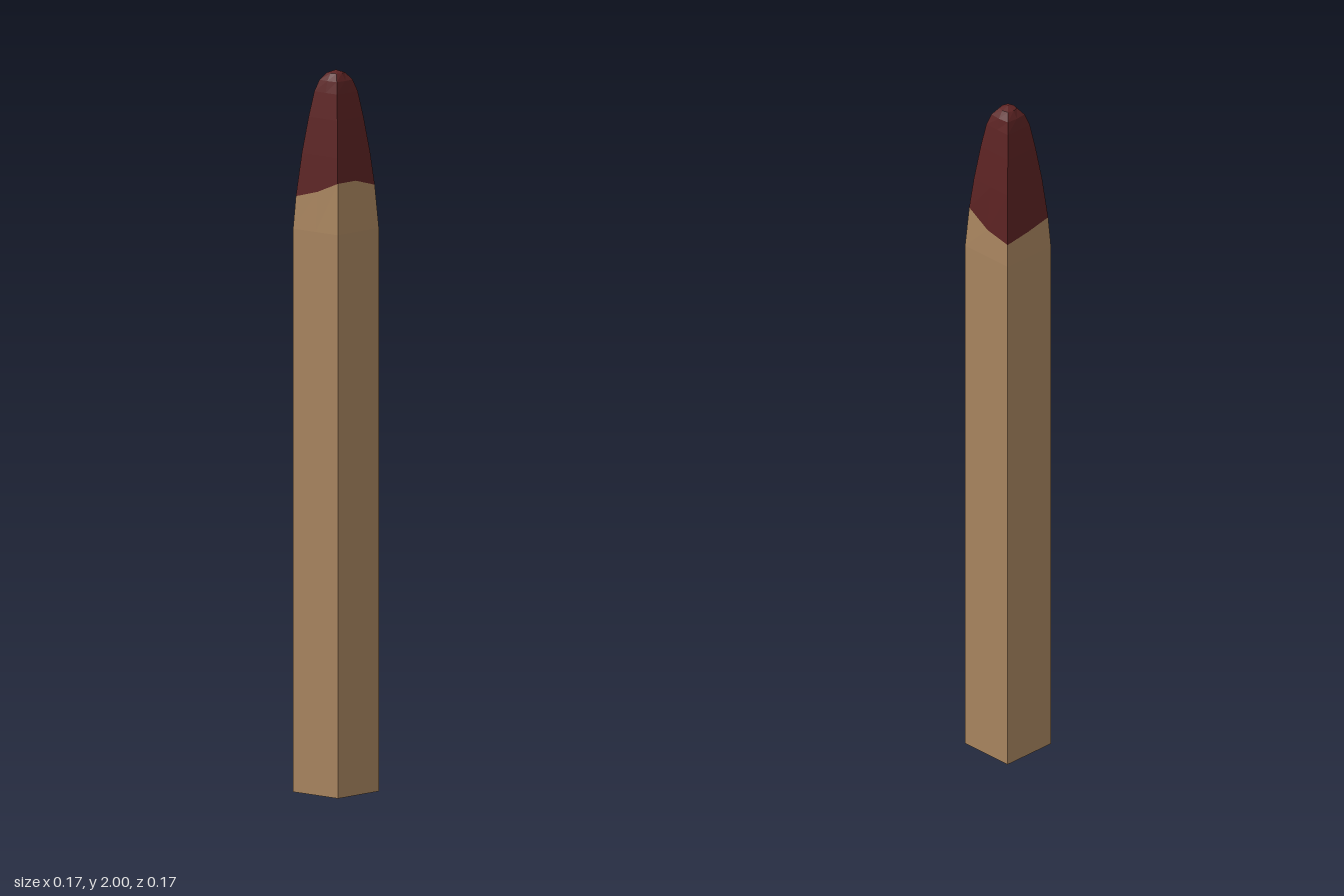
import * as THREE from 'three';

// Outline of the square section: [height, half width]
const PROFILE = [[0, 0.083], [1.56, 0.083], [1.66, 0.077], [1.77, 0.066], [1.87, 0.053], [1.94, 0.042], [1.972, 0.035], [1.992, 0.02], [2, 0]];

// Corners and edge middles of a square, starting at the front left corner
const DIRS = [[1, 1], [0, 1], [-1, 1], [-1, 0], [-1, -1], [0, -1], [1, -1], [1, 0]];

// Uneven height of the line where the coating ends, one value per direction
const DIP_LINE = [1.70, 1.67, 1.65, 1.635, 1.625, 1.64, 1.68, 1.70];

function halfWidth(y) {
  const i = Math.max(1, PROFILE.findIndex(p => p[0] >= y));
  const [y0, w0] = PROFILE[i - 1], [y1, w1] = PROFILE[i];
  return w0 + (w1 - w0) * (y - y0) / (y1 - y0);
}

// Level ring; corner < 1 rounds the section
function ring(y, w = halfWidth(y), corner = 1) {
  return DIRS.map(([x, z]) => {
    const k = x && z ? w * corner : w;
    return new THREE.Vector3(x * k, y, z * k);
  });
}

// Wavy ring along the dip line
function dipRing() {
  return DIRS.map(([x, z], i) => {
    const w = halfWidth(DIP_LINE[i]);
    return new THREE.Vector3(x * w, DIP_LINE[i], z * w);
  });
}

// Skin a stack of rings from bottom to top
function loft(rings, material, name) {
  const pts = [];
  const tri = (a, b, c) => {
    if (!a.equals(b) && !b.equals(c) && !a.equals(c)) pts.push(a, b, c);
  };
  for (let r = 0; r < rings.length - 1; r++) {
    const a = rings[r], b = rings[r + 1];
    for (let i = 0; i < 8; i++) {
      const j = (i + 1) % 8;
      tri(a[j], a[i], b[i]);
      tri(a[j], b[i], b[j]);
    }
  }
  const geometry = new THREE.BufferGeometry().setFromPoints(pts);
  geometry.computeVertexNormals();
  const mesh = new THREE.Mesh(geometry, material);
  mesh.name = name;
  return mesh;
}

export function createModel() {
  const wood = new THREE.MeshStandardMaterial({ color: 0xaa8660 });
  wood.name = 'wood';
  const coating = new THREE.MeshStandardMaterial({ color: 0x5c2323 });
  coating.name = 'dark red coating';

  const group = new THREE.Group();
  group.name = 'matchstick';

  // Square stick with a closed base and a slightly tapered shoulder
  group.add(loft([ring(0, 0), ring(0), ring(1.56), dipRing()], wood, 'stick'));

  // Tapered head with a rounded cap
  group.add(loft([
    dipRing(), ring(1.77), ring(1.87), ring(1.94),
    ring(1.972, 0.035, 0.92), ring(1.992, 0.022, 0.8), ring(2, 0),
  ], coating, 'head'));

  return group;
}
